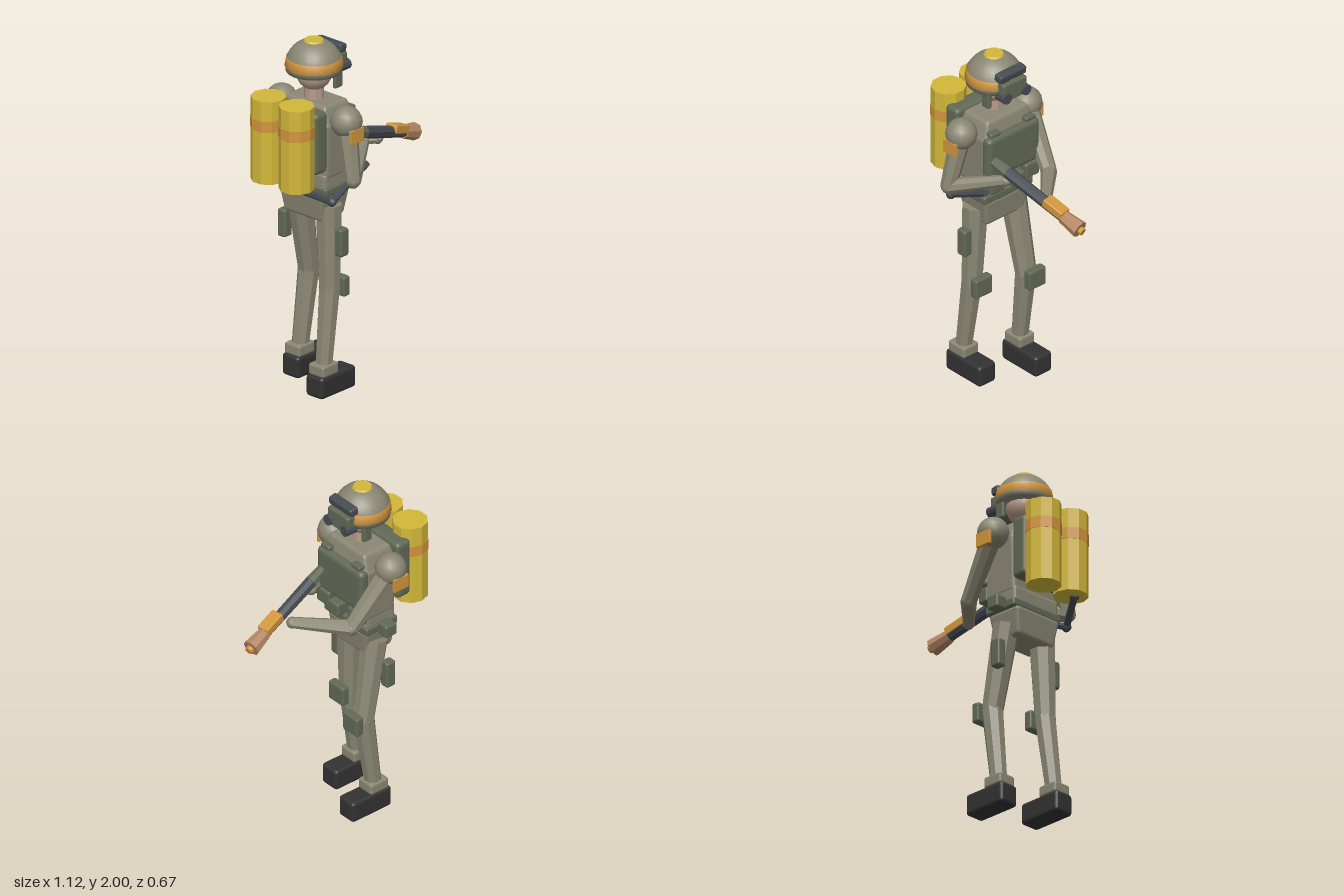
import * as THREE from 'three';
import { RoundedBoxGeometry } from 'three/addons/geometries/RoundedBoxGeometry.js';

const COLORS = {
  cloth: 0x8a8773, gear: 0x626956, slate: 0x464c53, boot: 0x323232,
  yellow: 0xd3b83a, orange: 0xd2963c, copper: 0xb58765, skin: 0xb99c8a,
};
const MID = -0.02; // z of the body's mirror plane
const BODY = -0.21; // x of the body's axis

export function createModel() {
  const root = new THREE.Group();
  root.name = 'soldier';
  const mats = {};
  for (const [name, color] of Object.entries(COLORS)) {
    mats[name] = new THREE.MeshStandardMaterial({ color });
    mats[name].name = name;
  }
  const v = (p) => new THREE.Vector3(...p);

  function add(name, geo, mat, pos = [0, 0, 0]) {
    const mesh = new THREE.Mesh(geo, mats[mat]);
    mesh.name = name;
    mesh.position.set(...pos);
    root.add(mesh);
    return mesh;
  }
  function flat(geo) {
    const g = geo.index ? geo.toNonIndexed() : geo;
    g.computeVertexNormals();
    return g;
  }
  // Bevelled box given by its limits; bottom and top may be scaled in x and z
  function box(name, mat, [x0, x1], [y0, y1], [z0, z1], bevel = 0.012, low = 1, high = 1) {
    const w = x1 - x0, h = y1 - y0, d = z1 - z0;
    const g = new RoundedBoxGeometry(w, h, d, 2, Math.min(bevel, w / 2.5, h / 2.5, d / 2.5));
    const p = g.attributes.position;
    for (let i = 0; i < p.count; i++) {
      const s = THREE.MathUtils.lerp(low, high, p.getY(i) / h + 0.5);
      p.setX(i, p.getX(i) * s);
      p.setZ(i, p.getZ(i) * s);
    }
    return add(name, flat(g), mat, [(x0 + x1) / 2, (y0 + y1) / 2, (z0 + z1) / 2]);
  }
  // Faceted tapered bar between two points
  function bar(name, mat, from, to, r0, r1, sides = 8) {
    const a = v(from), b = v(to), dir = b.clone().sub(a);
    const mesh = add(name, flat(new THREE.CylinderGeometry(r1, r0, dir.length(), sides)), mat);
    mesh.position.copy(a).add(b).multiplyScalar(0.5);
    mesh.quaternion.setFromUnitVectors(new THREE.Vector3(0, 1, 0), dir.normalize());
    return mesh;
  }
  const ball = (name, mat, pos, r, w = 16, h = 10) => add(name, new THREE.SphereGeometry(r, w, h), mat, pos);
  const around = (half) => [MID - half, MID + half];

  // Head and neck
  bar('neck', 'skin', [BODY, 1.62, MID], [BODY, 1.76, MID], 0.053, 0.053, 10);
  ball('head', 'skin', [BODY, 1.81, MID], 0.1);

  // Helmet shell, band and crown
  const shell = [[0, 1.82], [0.152, 1.82], [0.156, 1.85]];
  for (let i = 1; i <= 7; i++) {
    const a = (i / 7) * 1.2;
    shell.push([0.156 * Math.cos(a), 1.85 + 0.149 * Math.sin(a)]);
  }
  shell.push([0, 1.993]);
  const lathe = (pts) => new THREE.LatheGeometry(pts.map(([x, y]) => new THREE.Vector2(x, y)), 24);
  add('helmet', lathe(shell), 'cloth', [BODY, 0, MID]);
  add('helmetBand', lathe([[0.14, 1.849], [0.159, 1.85], [0.151, 1.9], [0.138, 1.901]]), 'orange', [BODY, 0, MID]);
  add('helmetCrown', new THREE.CylinderGeometry(0.05, 0.056, 0.01, 12), 'yellow', [BODY, 1.995, MID]);

  // Ear flaps and goggles
  for (const s of [-1, 1]) {
    const z = MID + s * 0.112;
    box('earFlap', 'gear', [-0.175, -0.115], [1.73, 1.86], [z - 0.013, z + 0.013]);
    bar('goggleLens', 'slate', [-0.09, 1.82, MID + s * 0.07], [-0.02, 1.82, MID + s * 0.07], 0.031, 0.031, 10);
  }
  const visor = box('visorBar', 'slate', [-0.105, -0.05], [1.905, 1.955], around(0.095));
  visor.rotation.z = -0.15;
  box('goggleBody', 'gear', [-0.11, -0.035], [1.79, 1.9], around(0.085));

  // Torso
  box('chest', 'cloth', [-0.31, -0.075], [1.24, 1.58], around(0.185), 0.025, 0.9, 1);
  box('shoulderYoke', 'cloth', [-0.31, -0.075], [1.55, 1.665], around(0.185), 0.02, 1, 0.78);
  box('abdomen', 'cloth', [-0.305, -0.095], [1.16, 1.28], around(0.165), 0.02);
  box('chestPlate', 'gear', [-0.11, -0.042], [1.325, 1.585], around(0.185), 0.03);
  for (const s of [-1, 1]) {
    const z = MID + s * 0.125;
    box('chestClip', 'gear', [-0.105, -0.05], [1.588, 1.615], [z - 0.036, z + 0.036]);
    box('frontPouch', 'gear', [-0.1, -0.035], [1.24, 1.33], [z - 0.05, z + 0.05]);
  }
  box('centrePouch', 'gear', [-0.1, 0], [1.25, 1.33], around(0.042));

  // Belt and pelvis
  box('belt', 'gear', [-0.31, -0.09], [1.15, 1.2], around(0.178));
  box('hipPouch', 'gear', [-0.25, -0.17], [1.14, 1.215], [-0.265, -0.19]);
  box('pelvis', 'cloth', [-0.32, -0.1], [0.995, 1.155], around(0.16), 0.02, 0.84, 1.02);

  // Backpack and twin tanks
  box('backpack', 'gear', [-0.4, -0.3], [1.305, 1.66], around(0.185), 0.025);
  for (const z of [-0.123, 0.082]) {
    bar('tank', 'yellow', [-0.46, 1.237, z], [-0.46, 1.718, z], 0.097, 0.097, 10);
    bar('tankBand', 'orange', [-0.46, 1.54, z], [-0.46, 1.605, z], 0.1, 0.1, 10);
  }

  // Fuel hose with its couplings
  const hose = [[-0.47, 1.24, 0.1], [-0.31, 1.145, 0.2], [-0.03, 1.285, 0.2]];
  for (let i = 0; i < 2; i++) bar('hose', 'slate', hose[i], hose[i + 1], 0.02, 0.02, 6);
  hose.slice(0, 2).forEach((p) => ball('hoseCoupling', 'slate', p, 0.028, 8, 6));

  // Arms: shoulder, elbow, hand
  const arms = [
    { s: 1, elbow: [-0.235, 1.27, 0.285], hand: [0.035, 1.36, 0.115] },
    { s: -1, elbow: [0.025, 1.275, -0.205], hand: [0.25, 1.29, 0.02] },
  ];
  for (const { s, elbow, hand } of arms) {
    const shoulder = [BODY, 1.585, MID + s * 0.235];
    ball('shoulder', 'cloth', shoulder, 0.088);
    bar('upperArm', 'cloth', shoulder, elbow, 0.06, 0.045);
    ball('elbow', 'cloth', elbow, 0.045, 8, 6);
    bar('forearm', 'cloth', elbow, hand, 0.045, 0.031);
    ball('hand', 'cloth', hand, 0.033, 8, 6);
    const z = MID + s * 0.312;
    box('armPatch', 'orange', [-0.265, -0.165], [1.485, 1.565], [z - 0.009, z + 0.009], 0.002);
  }

  // Flame projector, laid out along one axis
  const rear = v([0.03, 1.418, 0.112]), tip = v([0.553, 1.237, 0.026]);
  const along = (t) => rear.clone().lerp(tip, t).toArray();
  bar('stock', 'gear', along(-0.15), along(0.03), 0.03, 0.036);
  bar('barrel', 'slate', along(0.02), along(0.78), 0.035, 0.032);
  bar('muzzle', 'copper', along(0.75), along(0.96), 0.038, 0.05);
  bar('nozzle', 'orange', along(0.95), along(1), 0.022, 0.022);
  const sight = add('topBlock', flat(new RoundedBoxGeometry(0.135, 0.05, 0.073, 2, 0.008)), 'orange');
  sight.position.set(...along(0.635)).add(new THREE.Vector3(0.006, 0.018, 0));
  const x = tip.clone().sub(rear).normalize();
  const z = x.clone().cross(new THREE.Vector3(0, 1, 0)).normalize();
  sight.quaternion.setFromRotationMatrix(new THREE.Matrix4().makeBasis(x, z.clone().cross(x), z));

  // Legs: hip, knee and ankle set along x, feet apart in z
  const legs = [
    { s: 1, hip: -0.225, knee: -0.235, ankle: -0.293 },
    { s: -1, hip: -0.195, knee: -0.105, ankle: -0.165 },
  ];
  for (const { s, hip, knee, ankle } of legs) {
    const zh = MID + s * 0.12, zf = MID + s * 0.145, zk = MID + s * 0.135;
    bar('thigh', 'cloth', [hip, 1.08, zh], [knee, 0.6, zk], 0.075, 0.06);
    ball('knee', 'cloth', [knee, 0.6, zk], 0.058, 8, 6);
    bar('shin', 'cloth', [knee, 0.6, zk], [ankle, 0.14, zf], 0.06, 0.047);
    const pad = knee + 0.075;
    box('kneePad', 'gear', [pad - 0.025, pad + 0.025], [0.54, 0.655], [zk - 0.06, zk + 0.06]);
    const side = MID + s * 0.205, px = BODY - 0.008;
    box('thighPouch', 'gear', [px - 0.032, px + 0.032], [0.8, 0.96], [side - 0.028, side + 0.028]);
    box('ankleCuff', 'cloth', [ankle - 0.063, ankle + 0.063], [0.12, 0.185], [zf - 0.055, zf + 0.055]);
    const fx = ankle + 0.058;
    box('boot', 'boot', [fx - 0.138, fx + 0.138], [0, 0.125], [zf - 0.061, zf + 0.061], 0.02);
  }
  return root;
}
